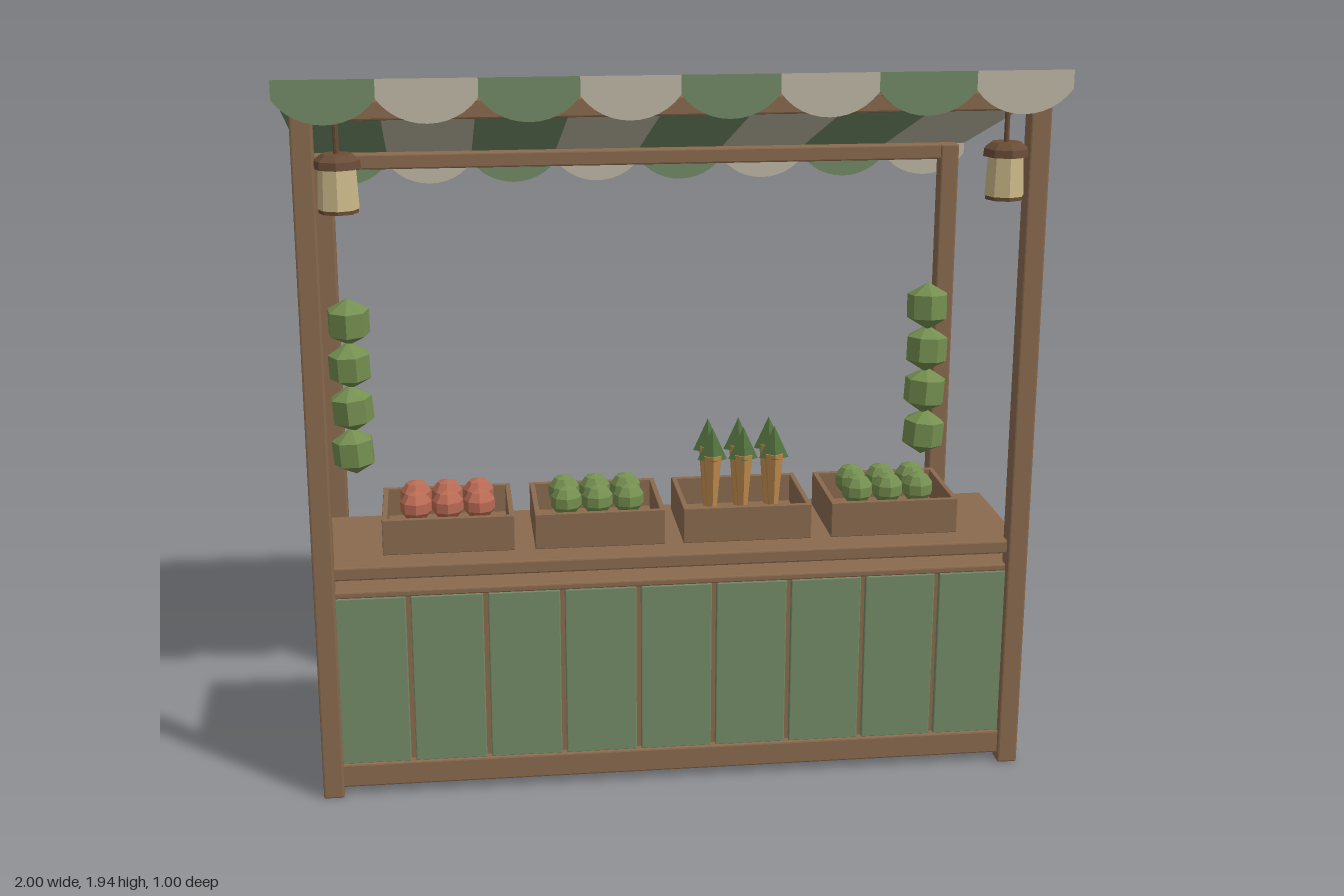
import * as THREE from 'three';
import { RoundedBoxGeometry } from 'three/addons/geometries/RoundedBoxGeometry.js';

export function createModel() {
  const mat = (name, color) => {
    const m = new THREE.MeshStandardMaterial({ color, flatShading: true });
    m.name = name;
    return m;
  };
  const wood = mat('wood', 0x8a6a4e);
  const darkWood = mat('dark wood', 0x6b4d38);
  const green = mat('green cloth and paint', 0x758c68);
  const cream = mat('cream cloth', 0xbfb8a5);
  const leaf = mat('leaf green', 0x758f50);
  const darkLeaf = mat('carrot top green', 0x53733f);
  const tomato = mat('tomato red', 0xb96b54);
  const carrot = mat('carrot orange', 0xbd8a4c);
  const glow = mat('lantern glass', 0xcdba8a);

  const stall = new THREE.Group();
  stall.name = 'marketStall';
  const add = (parent, name, geometry, material, x = 0, y = 0, z = 0) => {
    const m = new THREE.Mesh(geometry, material);
    m.name = name;
    m.position.set(x, y, z);
    parent.add(m);
    return m;
  };
  const group = (name, x = 0, y = 0, z = 0) => {
    const g = new THREE.Group();
    g.name = name;
    g.position.set(x, y, z);
    stall.add(g);
    return g;
  };
  // Box with a small bevel, given by its extents
  const board = (parent, name, material, x0, x1, y0, y1, z0, z1, bevel = 0.005) =>
    add(parent, name, new RoundedBoxGeometry(x1 - x0, y1 - y0, z1 - z0, 1, bevel), material,
      (x0 + x1) / 2, (y0 + y1) / 2, (z0 + z1) / 2);

  // Posts and the beams between them
  for (const s of [-1, 1]) {
    const x = s * 0.935;
    board(stall, 'frontPost', wood, x - 0.0275, x + 0.0275, 0, 1.885, 0.403, 0.458);
    board(stall, 'backPost', wood, x - 0.0275, x + 0.0275, 0, 1.615, -0.458, -0.403);
  }
  board(stall, 'frontBeam', wood, -0.92, 0.92, 1.83, 1.88, 0.408, 0.453);
  board(stall, 'backBeam', wood, -0.92, 0.92, 1.57, 1.615, -0.453, -0.408);

  // Counter: plinth, body, top rim, painted front panels and worktop
  const counter = group('counter');
  board(counter, 'body', wood, -0.935, 0.935, 0.03, 0.58, 0.045, 0.422);
  board(counter, 'plinth', wood, -0.945, 0.945, 0.025, 0.092, 0.035, 0.445);
  board(counter, 'rim', wood, -0.94, 0.94, 0.566, 0.586, 0.04, 0.435);
  for (let i = 0; i < 9; i++) {
    const x = (i - 4) * 0.205;
    board(counter, 'frontPanel', green, x - 0.096, x + 0.096, 0.09, 0.568, 0.418, 0.437, 0.003);
  }
  board(counter, 'worktop', wood, -0.947, 0.947, 0.62, 0.657, 0.03, 0.442);

  // Striped sloping awning with scalloped edges
  const awning = group('awning');
  const slope = 0.315, width = 0.25;
  const scallop = new THREE.Shape();
  scallop.moveTo(-width / 2, 0);
  scallop.lineTo(-width / 2, -0.045);
  scallop.bezierCurveTo(-0.065, -0.128, 0.065, -0.128, width / 2, -0.045);
  scallop.lineTo(width / 2, 0);
  const scallopGeo = new THREE.ExtrudeGeometry(scallop,
    { depth: 0.012, bevelEnabled: false, curveSegments: 12 });
  const stripeGeo = new THREE.BoxGeometry(width, 0.02, 1);
  const sp = stripeGeo.attributes.position;
  for (let i = 0; i < sp.count; i++) sp.setY(i, sp.getY(i) + sp.getZ(i) * slope);
  stripeGeo.computeVertexNormals();
  for (let i = 0; i < 8; i++) {
    const x = (i - 3.5) * width;
    const cloth = i % 2 ? cream : green;
    add(awning, 'stripe', stripeGeo, cloth, x, 1.77, 0);
    add(awning, 'frontScallop', scallopGeo, cloth, x, 1.934, 0.488);
    add(awning, 'backScallop', scallopGeo, cloth, x, 1.62, -0.5);
  }

  // Carrot tops: three-sided tufts with an upright flat back
  const tuftGeo = new THREE.ConeGeometry(0.047, 0.09, 3);
  const tp = tuftGeo.attributes.position;
  for (let i = 0; i < tp.count; i++) tp.setZ(i, Math.max(tp.getZ(i), 0) * 0.58);
  tuftGeo.computeVertexNormals();
  const rootGeo = new THREE.CylinderGeometry(0.027, 0.012, 0.175, 6);
  const fruitGeo = new THREE.SphereGeometry(0.044, 8, 5);

  // Open crates with six pieces of produce each
  const crate = (x, kind) => {
    const g = group('crate', x, 0.667, 0.247);
    const w = 0.175, d = 0.138, h = 0.098, t = 0.014;
    board(g, 'crateFloor', wood, -w + 0.004, w - 0.004, 0.002, 0.02, -d + 0.004, d - 0.004, 0.002);
    for (const s of [-1, 1]) {
      const z = s * (d - t / 2), sx = s * (w - t / 2);
      board(g, 'crateLongSide', wood, -w, w, 0, h, z - t / 2, z + t / 2, 0.002);
      board(g, 'crateEnd', wood, sx - t / 2, sx + t / 2, 0, h, -d + t, d - t, 0.002);
    }
    for (const px of [-0.085, 0, 0.085]) for (const pz of [-0.045, 0.045]) {
      if (kind === 'carrot') {
        add(g, 'carrotRoot', rootGeo, carrot, px, 0.13, pz);
        add(g, 'carrotTop', tuftGeo, darkLeaf, px, 0.25, pz);
      } else {
        add(g, kind, fruitGeo, kind === 'tomato' ? tomato : leaf, px, 0.104, pz);
      }
    }
  };
  crate(-0.605, 'tomato');
  crate(-0.2, 'cabbage');
  crate(0.2, 'carrot');
  crate(0.605, 'cabbage');

  // Hanging lanterns at the front, strings of leafy bundles at the back
  const bundleGeo = new THREE.SphereGeometry(0.073, 7, 3);
  for (const s of [-1, 1]) {
    const lantern = group('lantern', s * 0.852, 1.6, 0.433);
    const ring = (name, m, r1, r0, y0, y1) =>
      add(lantern, name, new THREE.CylinderGeometry(r1, r0, y1 - y0, 8), m, 0, (y0 + y1) / 2, 0);
    ring('lanternBase', darkWood, 0.05, 0.05, 0, 0.01);
    ring('lanternGlass', glow, 0.047, 0.052, 0.01, 0.112);
    ring('lanternCap', darkWood, 0.058, 0.06, 0.112, 0.132);
    ring('lanternRoof', darkWood, 0.038, 0.058, 0.132, 0.148);
    ring('lanternHanger', darkWood, 0.007, 0.007, 0.148, 0.25);

    const garland = group('garland', s * 0.88, 0.72, -0.387);
    for (let i = 0; i < 4; i++) {
      const b = add(garland, 'leafBundle', bundleGeo, leaf, 0, i * 0.134, 0);
      b.rotation.set(0, i * 0.5, -s * 0.08);
    }
  }
  return stall;
}
